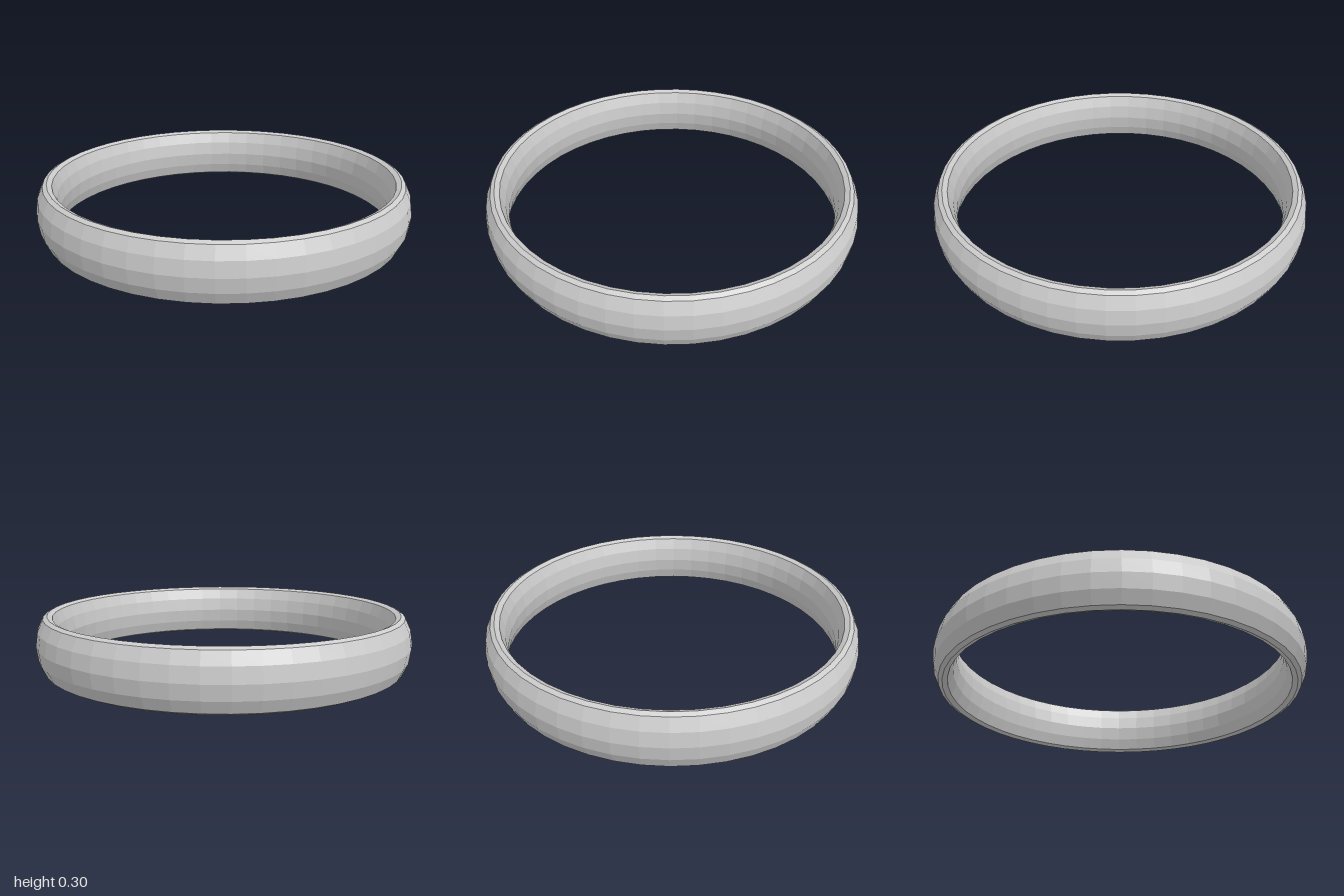
import * as THREE from 'three';

const HEIGHT = 0.297;
const SEGMENTS = 48;

export function createModel() {
  const model = new THREE.Group();
  model.name = 'ring';

  // Upper half of the cross-section as [radius, height above the middle],
  // from the outer belly over the rim ridge to the inner belly
  const upper = [
    [1.0, 0], [0.989, 0.075], [0.96, 0.137],
    [0.938, 0.1485],
    [0.912, 0.137], [0.89, 0.075], [0.88, 0],
  ];
  // Mirrored lower half, closing the loop back at the outer belly
  const lower = upper.slice(0, -1).reverse().map(([r, y]) => [r, -y]);
  const profile = [...upper, ...lower].map(([r, y]) => new THREE.Vector2(r, y + HEIGHT / 2));

  const band = new THREE.Mesh(
    new THREE.LatheGeometry(profile, SEGMENTS),
    new THREE.MeshStandardMaterial({ color: 0xcccccc, flatShading: true })
  );
  band.name = 'band';
  model.add(band);
  return model;
}
